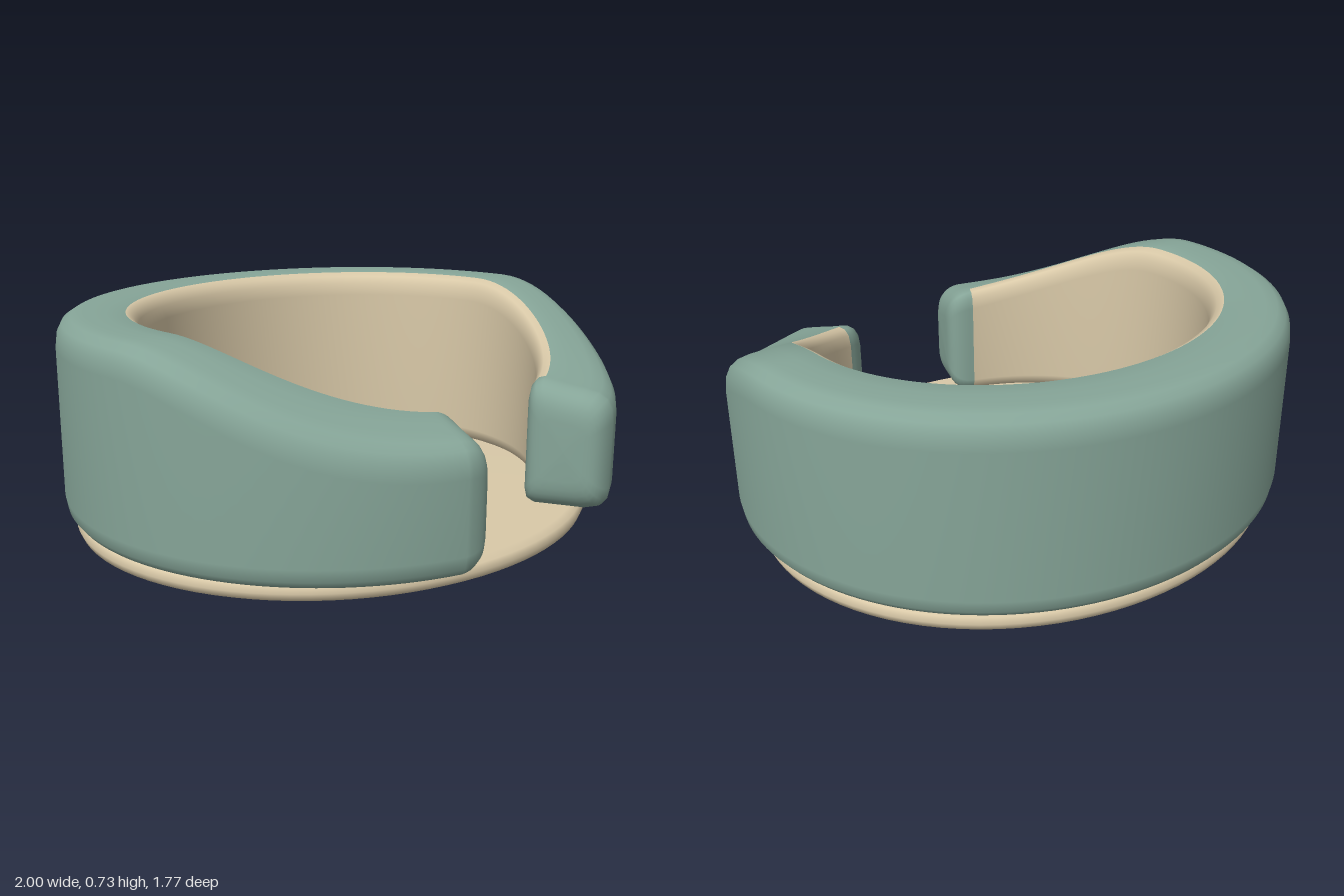
import * as THREE from 'three';

const green = new THREE.MeshStandardMaterial({ color: 0x86a598 });
green.name = 'sage green';
const tan = new THREE.MeshStandardMaterial({ color: 0xd9c9a8 });
tan.name = 'warm tan';

const BOTTOM = 0.065, CENTRE_Z = 0.03, OPENING = THREE.MathUtils.degToRad(24);

// Wall cross-section, up the outside, over the top, down the inside:
// [radius, offset, 1 if measured from the top edge]
const PROFILE = [
  [0.93, 0, 0], [0.975, 0.012, 0], [0.993, 0.035, 0], [1, 0.075, 0],
  [1, -0.1, 1], [0.994, -0.055, 1], [0.978, -0.024, 1], [0.95, -0.006, 1], [0.91, 0, 1],
  [0.84, 0, 1], [0.775, -0.003, 1], [0.752, -0.018, 1], [0.737, -0.045, 1], [0.73, -0.09, 1],
  [0.73, 0.05, 0], [0.738, 0.015, 0], [0.765, 0, 0],
];
const LINING_START = 10, LINING_END = 15;

// The top edge is level at the back and sweeps down to the opening
const topHeight = z => 0.73 - 0.26 * THREE.MathUtils.smoothstep(z, 0.04, 0.86);

function section(angle) {
  return PROFILE.map(([r, offset, fromTop]) => {
    const z = CENTRE_Z + (r * 1.037 - 0.117) * Math.cos(angle);
    return new THREE.Vector3(r * Math.sin(angle), (fromTop ? topHeight(z) : BOTTOM) + offset, z);
  });
}

// Rounded end: the last section shrinks to a point while bulging into the opening
function endCap(ring, side) {
  const centre = ring.reduce((s, p) => s.add(p), new THREE.Vector3()).divideScalar(ring.length);
  centre.y = (BOTTOM + topHeight(centre.z)) / 2;
  const rings = [];
  for (let k = 1; k <= 10; k++) {
    const a = k / 10 * Math.PI / 2;
    const scale = k === 10 ? 0 : Math.cos(a) ** 0.4;
    const push = new THREE.Vector3(-0.1 * side, 0, 0.025).multiplyScalar(Math.sin(a));
    rings.push(ring.map(p => p.clone().sub(centre).multiplyScalar(scale).add(centre).add(push)));
  }
  return rings;
}

function wallGeometry() {
  const steps = 120, body = [];
  for (let i = 0; i <= steps; i++) {
    body.push(section(OPENING + (2 * Math.PI - 2 * OPENING) * i / steps));
  }
  const startCap = endCap(body[0], 1).reverse();
  const rings = [...startCap, ...body, ...endCap(body[steps], -1)];
  const n = PROFILE.length, outer = [], lining = [];
  for (let i = 0; i < rings.length - 1; i++) {
    const onBody = i >= startCap.length && i < startCap.length + steps;
    for (let j = 0; j < n; j++) {
      const a = i * n + j, b = i * n + (j + 1) % n;
      const isLining = onBody && j >= LINING_START && j <= LINING_END;
      (isLining ? lining : outer).push(a, a + n, b, b, a + n, b + n);
    }
  }
  const geometry = new THREE.BufferGeometry().setFromPoints(rings.flat());
  geometry.setIndex([...outer, ...lining]);
  geometry.addGroup(0, outer.length, 0);
  geometry.addGroup(outer.length, lining.length, 1);
  geometry.computeVertexNormals();
  return geometry;
}

export function createModel() {
  const model = new THREE.Group();
  model.name = 'roundPetBed';
  const add = (name, geometry, material) => {
    const mesh = new THREE.Mesh(geometry, material);
    mesh.name = name;
    model.add(mesh);
    return mesh;
  };

  // Oval base, its top forming the floor
  const baseProfile = [[0, 0], [0.925, 0], [0.95, 0.012], [0.96, 0.035], [0.95, 0.056], [0.925, 0.07], [0, 0.07]]
    .map(([x, y]) => new THREE.Vector2(x, y));
  add('base', new THREE.LatheGeometry(baseProfile, 96), tan).scale.z = 0.85 / 0.96;

  // Padded wall with its lining
  add('wall', wallGeometry(), [green, tan]);

  // Two flat oval pads on the floor
  for (const side of [-1, 1]) {
    const pad = add(side > 0 ? 'leftPad' : 'rightPad', new THREE.CylinderGeometry(0.3, 0.305, 0.009, 64), tan);
    pad.position.set(0.355 * side, 0.0745, -0.07);
    pad.scale.z = 0.255 / 0.305;
  }
  return model;
}
